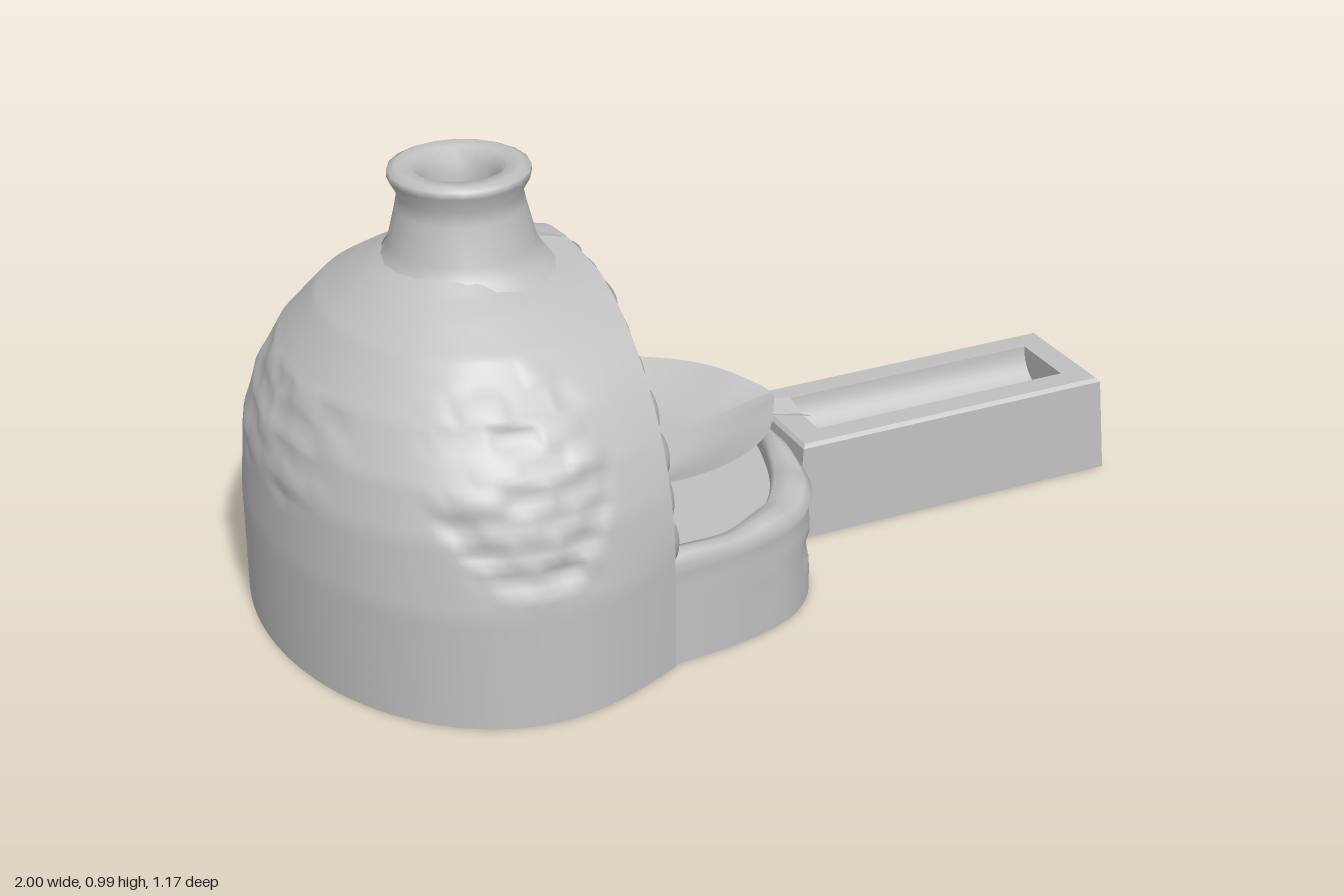
import * as THREE from 'three';

const clay = new THREE.MeshStandardMaterial({ color: 0xc0c0c0, side: THREE.DoubleSide });
clay.name = 'grey clay';

const lerp = THREE.MathUtils.lerp;
const smooth = THREE.MathUtils.smoothstep;

function add(parent, name, geometry, x = 0, y = 0, z = 0) {
  const mesh = new THREE.Mesh(geometry, clay);
  mesh.name = name;
  mesh.position.set(x, y, z);
  parent.add(mesh);
  return mesh;
}

// Surface from a rule f(u, v) -> [x, y, z]
function grid(nu, nv, f, flat = false) {
  const pos = [], idx = [];
  for (let j = 0; j <= nv; j++)
    for (let i = 0; i <= nu; i++) pos.push(...f(i / nu, j / nv));
  for (let j = 0; j < nv; j++)
    for (let i = 0; i < nu; i++) {
      const a = j * (nu + 1) + i, b = a + nu + 1;
      idx.push(a, b, a + 1, a + 1, b, b + 1);
    }
  let g = new THREE.BufferGeometry();
  g.setAttribute('position', new THREE.Float32BufferAttribute(pos, 3));
  g.setIndex(idx);
  if (flat) g = g.toNonIndexed();
  g.computeVertexNormals();
  return g;
}

// Linear lookup in rows [key, a, b, ...]
function lookup(rows, k) {
  let i = 0;
  while (i < rows.length - 2 && k > rows[i + 1][0]) i++;
  const p = rows[i], q = rows[i + 1];
  const t = THREE.MathUtils.clamp((k - p[0]) / (q[0] - p[0]), 0, 1);
  return p.map((n, c) => lerp(n, q[c], t));
}

const hash = (a, b) => { const s = Math.sin(a * 127.1 + b * 311.7) * 43758.5; return s - Math.floor(s); };

// Exposed bricks: raised and sunken cells in staggered rows
function bricks(along, y) {
  const row = Math.floor(y / 0.05), p = along / 0.1 + row * 0.5, col = Math.floor(p);
  const fy = y / 0.05 - row, fx = p - col;
  return (hash(row, col) - 0.55) * 0.03 * Math.sqrt(Math.sin(fy * Math.PI) * Math.sin(fx * Math.PI) + 1e-6);
}
const patch = (a, ca, ra, y, cy, ry) => 1 - smooth(Math.hypot((a - ca) / ra, (y - cy) / ry), 0.75, 1);

// Oven: height, back reach, half width, front edge
const CX = -0.56;
const levels = [
  [0, 0.44, 0.585, -0.28], [0.25, 0.44, 0.58, -0.28], [0.4, 0.43, 0.548, -0.28],
  [0.5, 0.405, 0.505, -0.28], [0.6, 0.355, 0.435, -0.28], [0.7, 0.27, 0.335, -0.28],
  [0.75, 0.205, 0.25, -0.28], [0.775, 0.17, 0.2, -0.29], [0.8, 0.13, 0.16, -0.4]];

// Shell swept from one front edge round the back to the other
function ovenPoint(u, v) {
  const y = 0.8 * (1 - (1 - v) ** 2);
  const side = u < 0.5 ? -1 : 1, s = 1 - Math.abs(2 * u - 1);
  const [, back, half, front] = lookup(levels, y);
  const edge = y < 0.25 ? 0.5 : 0.5 * Math.sqrt(Math.max(0, 1 - ((y - 0.25) / 0.52) ** 2));
  let x, z;
  if (s < 0.4) {
    x = lerp(front, CX, s / 0.4);
    z = lerp(Math.min(edge, half), half, Math.sin(s / 0.4 * Math.PI / 2));
  } else {
    const a = (s - 0.4) / 0.6 * Math.PI / 2;
    x = CX - back * Math.sin(a);
    z = half * Math.cos(a);
  }
  const d = bricks(x, y) * patch(x, -0.6, 0.2, y, 0.49, 0.25)
    + bricks(z, y) * patch(z, 0.12, 0.17, y, 0.5, 0.14) * (x < -0.8 ? 1 : 0);
  return [CX + (x - CX) * (1 + d), y, side * z * (1 + 1.6 * d)];
}

// Fire chamber: faceted plan at the ground that narrows to a funnel under the chimney
function chamberPoint(u, v) {
  const planPts = [[-0.31, 0.45], [-0.7, 0.355], [-0.7, -0.355], [-0.31, -0.45]];
  const k = u * 3, i = Math.min(2, Math.floor(k)), f = k - i;
  const s = Math.max(0.12, Math.sqrt(1 - v ** 3.2));
  const x = lerp(planPts[i][0], planPts[i + 1][0], f), z = lerp(planPts[i][1], planPts[i + 1][1], f);
  return [-0.47 + (x + 0.47) * (x < -0.47 ? lerp(s, 1, 0.25) : 1), 0.7 * v, z * s * (1 - 0.1 * v)];
}

// Stone arch round the mouth; section points are [x, share from inner to outer curve]
function archGeometry() {
  const section = [[-0.42, 0.95], [-0.3, 1], [-0.272, 0.93], [-0.275, 0.6], [-0.31, 0.2], [-0.36, 0], [-0.44, 0.05]];
  const stones = 17;
  return grid(136, section.length - 1, (u, v) => {
    const a = u * Math.PI, [x, w] = section[Math.round(v * (section.length - 1))];
    const n = Math.min(stones - 1, Math.floor(u * stones));
    const bump = Math.sqrt(Math.abs(Math.sin(u * stones * Math.PI)));
    const r = (hash(n, 3) - 0.5) * 0.03;
    const k = w - (1 - w) * (bump * 0.1 - 0.05 + r * 5);
    return [x + (w > 0.1 && w < 0.95 ? bump * 0.015 - 0.01 + r * 0.4 : 0),
      0.245 + lerp(0.355, 0.52, k) * Math.sin(a), lerp(0.37, 0.5, k) * Math.cos(a)];
  });
}

// Hearth apron, plan curves mirrored in z
const plan = (pts) => new THREE.CatmullRomCurve3(
  [...pts, ...pts.slice(0, -1).reverse().map(([x, z]) => [x, -z])].map(([x, z]) => new THREE.Vector3(x, 0, z)));
const outer = plan([[-0.32, 0.495], [-0.1, 0.472], [0.04, 0.42], [0.12, 0.33], [0.16, 0.18], [0.17, 0]]);
const inner = plan([[-0.32, 0.44], [-0.12, 0.41], [0.0, 0.34], [0.08, 0.22], [0.125, 0.1], [0.145, 0]]);

function apronGeometry() {
  const rows = [[0, 0], [0.05, 0], [0.09, 0], [0.12, 0], [0.15, 0], [0.18, 0], [0.21, 0.02],
    [0.235, -0.05], [0.248, 0.15], [0.252, 0.5], [0.245, 0.9], [0.225, 1], [0.18, 1]];
  return grid(96, rows.length - 1, (u, v) => {
    const [y, w] = rows[Math.round(v * (rows.length - 1))];
    const p = outer.getPoint(u).lerp(inner.getPoint(u), w);
    const d = w === 0 ? bricks(p.z, y) * patch(Math.abs(p.z), 0.36, 0.13, y, 0.13, 0.1) : 0;
    return [p.x + d, y + (w > 0.1 && w < 1 ? 0.004 * Math.sin(u * 50) : 0), p.z * (1 + d)];
  });
}

// Casting trough: tapered block with a half round channel
function buildTrough() {
  const g = new THREE.Group();
  g.name = 'castingTrough';
  const rings = [[0, 0, 0], [0.405, 0.15, 0], [0.388, 0.142, 0.222], [0.38, 0.134, 0.23], [0.32, 0.08, 0.23]];
  const corner = [[1, 1], [1, -1], [-1, -1], [-1, 1], [1, 1]];
  add(g, 'troughBlock', grid(4, rings.length - 1, (u, v) => {
    const [hx, hz, y] = rings[Math.round(v * (rings.length - 1))], [sx, sz] = corner[Math.round(u * 4)];
    return [sx * hx, y, sz * hz];
  }, true));
  add(g, 'troughChannel', grid(1, 16, (u, v) =>
    [lerp(-0.32, 0.32, u), 0.23 - 0.08 * Math.sin(v * Math.PI), 0.08 * Math.cos(v * Math.PI)]));
  for (const s of [-1, 1])
    add(g, 'channelEnd', new THREE.CircleGeometry(0.08, 16, Math.PI, Math.PI), s * 0.32, 0.23, 0).rotation.y = Math.PI / 2;
  g.position.set(0.595, 0, -0.008);
  return g;
}

export function createModel() {
  const model = new THREE.Group();
  model.name = 'furnace';

  add(model, 'ovenShell', grid(160, 80, ovenPoint));
  add(model, 'fireChamber', grid(36, 20, chamberPoint));
  add(model, 'mouthArch', archGeometry());

  // Chimney with a flared lip and a hollow bore
  const flue = [[0.2, 0.765], [0.172, 0.79], [0.155, 0.82], [0.135, 0.9], [0.129, 0.93], [0.148, 0.965], [0.147, 0.98],
    [0.13, 0.988], [0.1, 0.985], [0.075, 0.96], [0.07, 0.9], [0.08, 0.7]].map((p) => new THREE.Vector2(...p));
  add(model, 'chimney', new THREE.LatheGeometry(flue, 20), -0.53, 0, 0.008);

  // Hearth with a ragged ember bed that ends inside the chamber
  add(model, 'hearthApron', apronGeometry());
  const bed = new THREE.Shape([...inner.getPoints(40).map((p) => new THREE.Vector2(p.x, p.z)),
    ...Array.from({ length: 15 }, (_, i) => {
      const t = i / 14;
      return new THREE.Vector2(-0.4 - 0.15 * Math.sin(t * Math.PI) - 0.06 * hash(i, 5), lerp(-0.38, 0.38, t));
    })]);
  add(model, 'emberBed', new THREE.ShapeGeometry(bed), 0, 0.2, 0).rotation.x = Math.PI / 2;

  // Shallow melting pan with a pinched pouring lip
  add(model, 'meltingPan', grid(72, 12, (u, v) => {
    const a = u * Math.PI * 2, lip = Math.exp(-((Math.sin(a / 2) / 0.1) ** 2)) * v ** 4;
    return [-0.19 + v * 0.355 * Math.cos(a) + lip * 0.03,
      0.264 + 0.056 * smooth(v, 0.45, 1.2) / smooth(1, 0.45, 1.2) - lip * 0.014, v * 0.308 * Math.sin(a)];
  }));

  // Pouring spout folded to a shallow V
  add(model, 'pouringSpout', grid(2, 1, (u, v) => {
    const side = u * 2 - 1;
    return [lerp(0.13, 0.27, v), lerp(0.262, 0.235, v) + Math.abs(side) * 0.018, side * lerp(0.035, 0.052, v)];
  }, true));

  // Chain that carries the pan, with a three-sided hook at its foot
  const chain = new THREE.Group();
  chain.name = 'chain';
  for (let i = 0; i < 9; i++) {
    const link = add(chain, 'chainLink', new THREE.TorusGeometry(0.014, 0.0045, 6, 12), -0.38, 0.385 + i * 0.036, 0);
    link.scale.y = 1.65;
    link.rotation.y = i % 2 ? 0 : Math.PI / 2;
  }
  add(chain, 'panHook', new THREE.TorusGeometry(0.034, 0.005, 6, 3), -0.38, 0.332, 0)
    .rotation.set(0, Math.PI / 2, Math.PI / 2);
  model.add(chain);

  // Round vent and barred window on the far side
  add(model, 'roundVent', new THREE.TorusGeometry(0.035, 0.012, 8, 16), -0.4, 0.42, -0.528).rotation.set(0.3, -0.2, 0);
  const grate = new THREE.Group();
  grate.name = 'barredWindow';
  for (const s of [-1, 1]) {
    add(grate, 'windowRail', new THREE.BoxGeometry(0.16, 0.014, 0.02), 0, s * 0.055, 0);
    add(grate, 'windowJamb', new THREE.BoxGeometry(0.014, 0.11, 0.02), s * 0.073, 0, 0);
  }
  for (const x of [-0.036, 0, 0.036])
    add(grate, 'windowBar', new THREE.CylinderGeometry(0.006, 0.006, 0.11, 6), x, 0, 0);
  grate.position.set(-0.56, 0.38, -0.55);
  grate.rotation.x = 0.24;
  model.add(grate);

  model.add(buildTrough());
  return model;
}
